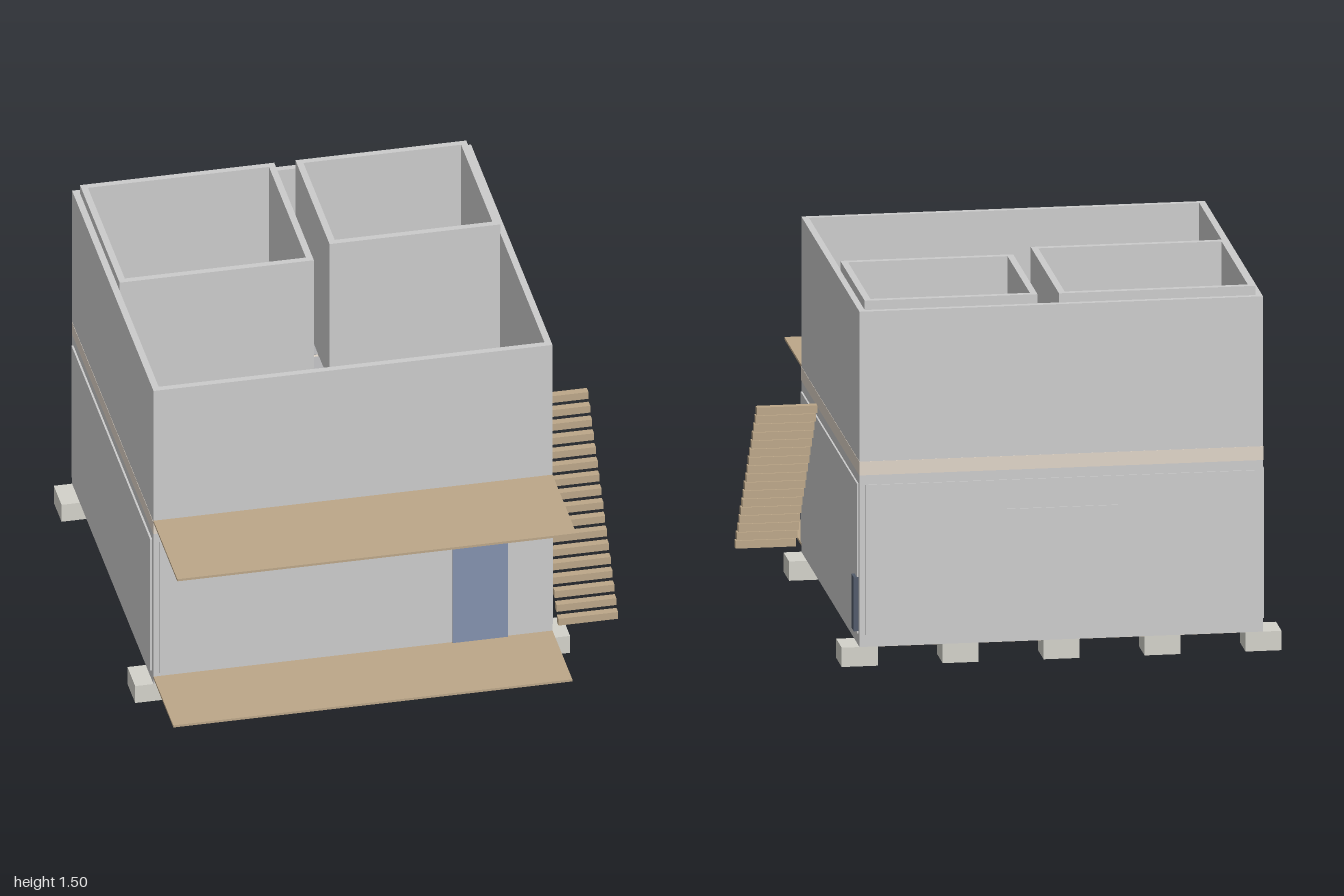
import * as THREE from 'three';

const paint = (color) => new THREE.MeshStandardMaterial({ color, flatShading: true });

export function createModel() {
  const house = new THREE.Group();
  house.name = 'house';
  const grey = paint(0xcccccc);
  const concrete = paint(0xd3d2ca);
  const floorMat = paint(0xdfd4c7);
  const timber = paint(0xbca789);
  const blue = paint(0x8391ae);
  const dark = paint(0x515a6a);
  const slate = paint(0xb2b2b4);

  // Box given by its low and high corner on each axis
  function block(name, [x0, x1], [y0, y1], [z0, z1], material, parent = house) {
    const mesh = new THREE.Mesh(new THREE.BoxGeometry(x1 - x0, y1 - y0, z1 - z0), material);
    mesh.position.set((x0 + x1) / 2, (y0 + y1) / 2, (z0 + z1) / 2);
    mesh.name = name;
    parent.add(mesh);
    return mesh;
  }

  // Rectangular ring of walls, open at top and bottom
  function walls(name, [x0, x1], [y0, y1], [z0, z1], t) {
    const outline = (a, b, c, d) => [[a, c], [b, c], [b, d], [a, d]].map((p) => new THREE.Vector2(...p));
    const shape = new THREE.Shape(outline(x0, x1, -z1, -z0));
    shape.holes.push(new THREE.Path(outline(x0 + t, x1 - t, -z1 + t, -z0 - t).reverse()));
    const geo = new THREE.ExtrudeGeometry(shape, { depth: y1 - y0, bevelEnabled: false });
    geo.rotateX(-Math.PI / 2).translate(0, y0, 0);
    const mesh = new THREE.Mesh(geo, grey);
    mesh.name = name;
    house.add(mesh);
  }

  const X = [-0.92, 0.715];
  const Z = [-0.99, 0.55];

  // Footings in a front and a back row
  for (let i = 0; i < 5; i++) {
    const x = -0.922 + i * 0.409;
    for (const z of [[0.403, 0.55], [-0.99, -0.843]]) {
      block('footing', [x - 0.073, x + 0.073], [0, 0.08], z, concrete);
    }
  }

  // Outer shell and floors
  walls('outerWalls', X, [0.08, 1.467], Z, 0.027);
  block('groundFloor', [-0.919, 0.714], [0.079, 0.11], [-0.989, 0.549], floorMat);
  block('upperFloor', [-0.921, 0.716], [0.79, 0.847], [-0.991, 0.551], floorMat);

  // Rooms on the upper floor
  walls('leftRoomWalls', [-0.893, -0.097], [0.847, 1.505], [-0.965, -0.215], 0.027);
  walls('rightRoomWalls', [-0.01, 0.69], [0.847, 1.505], [-0.965, -0.32], 0.027);
  block('frontWallLining', [-0.89, 0.688], [0.847, 1.1], [0.512, 0.524], grey);

  // Grey floor panels between the rooms
  for (const z of [[-0.945, -0.54], [-0.52, -0.25]]) {
    block('floorPanel', [-0.23, 0.02], [0.84, 0.851], z, slate);
  }

  // Thin cladding panels around the lower storey
  const panelY = [0.13, 0.75];
  block('frontPanel', [-0.895, 0.69], panelY, [0.54, 0.555], grey);
  block('backPanel', [-0.895, 0.69], panelY, [-0.995, -0.98], grey);
  block('leftPanel', [-0.928, -0.91], panelY, [-0.965, 0.525], grey);
  block('rightPanel', [0.705, 0.722], panelY, [-0.965, 0.525], grey);

  // Door and windows
  block('frontDoor', [0.305, 0.53], [0.11, 0.64], [0.545, 0.558], blue);
  block('sideHatch', [0.71, 0.735], [0.14, 0.363], [-0.967, -0.907], dark);
  block('backWindow', [-0.33, 0.12], [0.29, 0.63], [-1, -0.985], grey);

  // Porch and balcony decks
  block('porchDeck', X, [0.105, 0.115], [0.55, 0.925], timber);
  block('balconyDeck', X, [0.843, 0.853], [0.55, 1], timber);

  // Open stair along the right side
  const stair = new THREE.Group();
  stair.name = 'stair';
  house.add(stair);
  const steps = 17;
  for (let i = 0; i < steps; i++) {
    const f = i / (steps - 1);
    const y = 0.134 + f * 0.695;
    const z = 0.508 - f * 0.562;
    block('stairTread', [0.745, 0.99], [y - 0.016, y + 0.016], [z - 0.016, z + 0.016], timber, stair);
  }

  return house;
}
